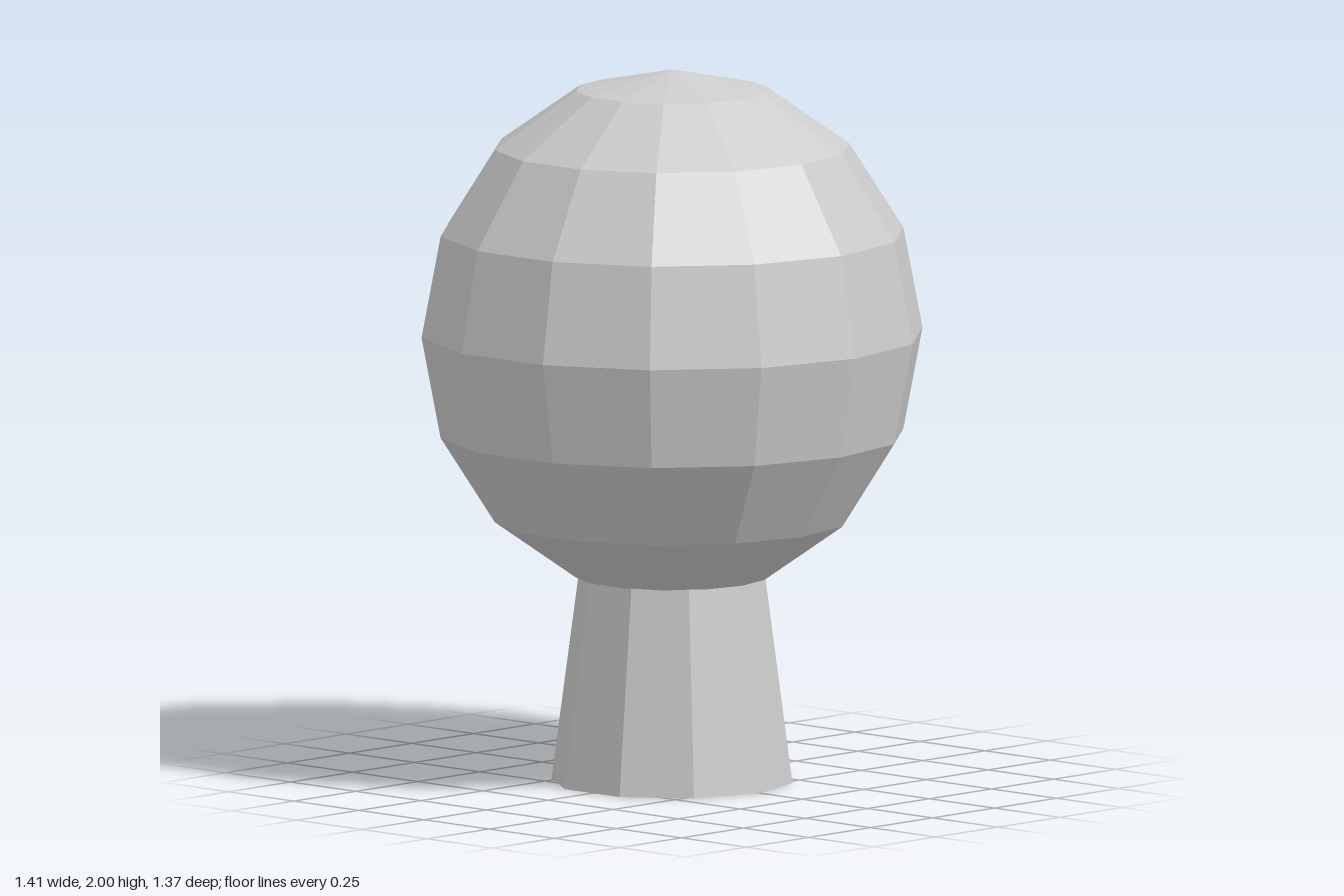
import * as THREE from 'three';

export function createModel() {
  const group = new THREE.Group();
  group.name = 'tree';
  const material = new THREE.MeshStandardMaterial({ color: 0xcccccc, flatShading: true });

  // Tapered ten-sided trunk, its top sunk into the crown
  const trunkHeight = 0.68;
  const trunkGeometry = new THREE.CylinderGeometry(0.248, 0.338, trunkHeight, 10);
  trunkGeometry.rotateY(Math.PI / 2); // corners on the x axis
  trunkGeometry.translate(0, trunkHeight / 2, 0);
  const trunk = new THREE.Mesh(trunkGeometry, material);
  trunk.name = 'trunk';
  group.add(trunk);

  // Faceted round crown, slightly narrower than tall
  const crownRadius = 0.74;
  const crownGeometry = new THREE.SphereGeometry(crownRadius, 14, 8);
  crownGeometry.scale(0.95, 1, 0.95);
  crownGeometry.translate(0, 2 - crownRadius, 0);
  const crown = new THREE.Mesh(crownGeometry, material);
  crown.name = 'crown';
  group.add(crown);

  return group;
}
